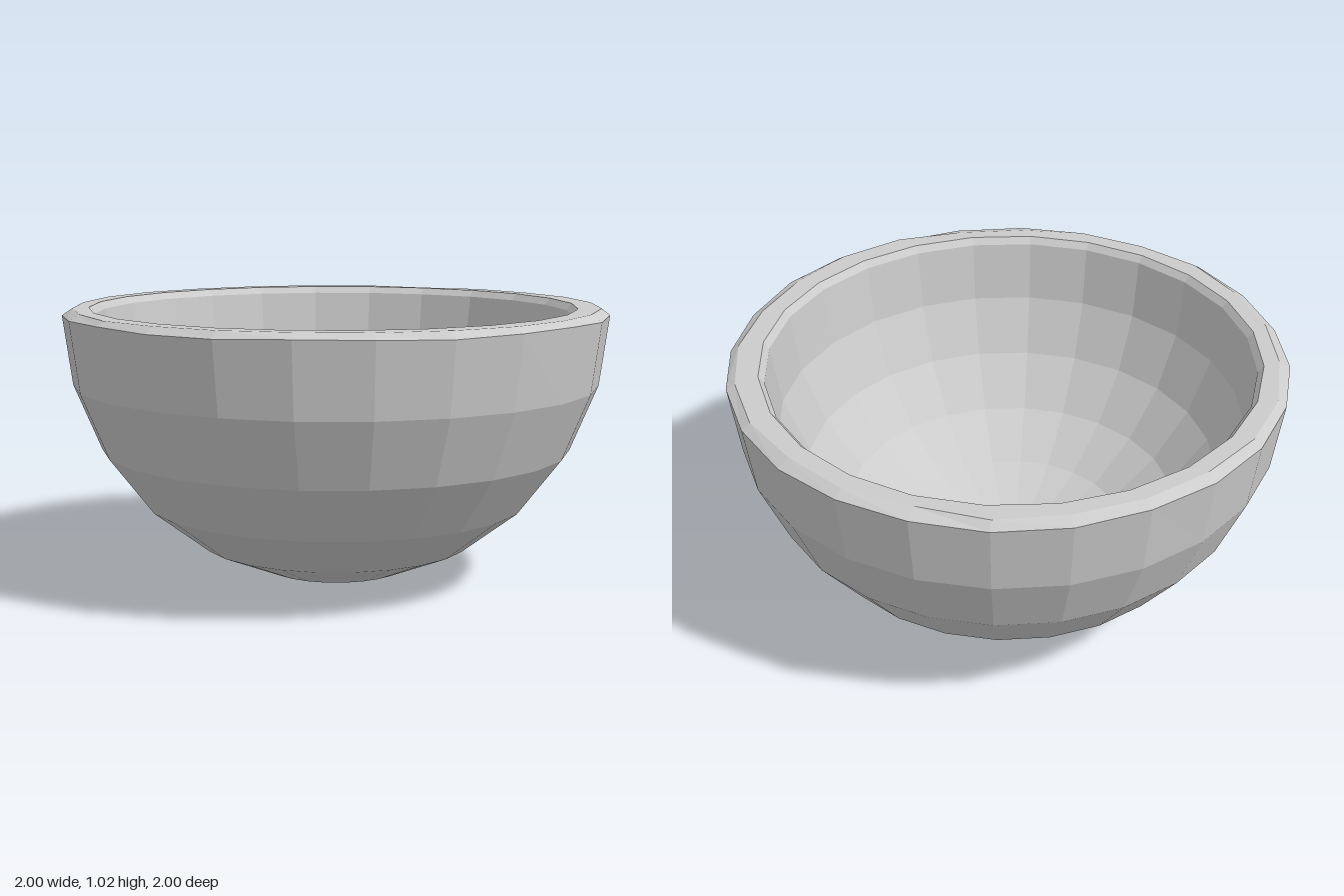
import * as THREE from 'three';

const SIDES = 24, STEP = Math.PI / 12;

// Hemisphere profile from the pole up to the equator, in 15 degree rings
function arc(radius, centreY) {
  const pts = [];
  for (let i = 0; i <= 6; i++) {
    pts.push(new THREE.Vector2(radius * Math.sin(i * STEP), centreY - radius * Math.cos(i * STEP)));
  }
  return pts;
}

// Closeness of an angle to a chip in the rim, 0 to 1
function chip(angle, centre, width) {
  const d = Math.atan2(Math.sin(angle - centre), Math.cos(angle - centre)) / width;
  return Math.exp(-d * d);
}

export function createModel() {
  const group = new THREE.Group();
  group.name = 'bowl';

  // Outer shell, bevelled flat rim, then inner shell back down to the centre
  const profile = [
    ...arc(1, 1.003),
    new THREE.Vector2(0.965, 1.025),
    new THREE.Vector2(0.895, 1.025),
    ...arc(0.875, 1).reverse(),
  ];
  const geometry = new THREE.LatheGeometry(profile, SIDES);

  // Slightly worn rim, and a small turn and shift of the hollow
  const pos = geometry.attributes.position;
  for (let i = 0; i < pos.count; i++) {
    const ring = i % profile.length;
    let x = pos.getX(i), y = pos.getY(i), z = pos.getZ(i);
    const a = Math.atan2(z, x);
    if (ring === 7) {
      const wear = 0.006 * Math.sin(5 * a) + 0.004 * Math.sin(11 * a + 1);
      const dent = 0.025 * (chip(a, 1.9, 0.2) + chip(a, -0.8, 0.2));
      const s = 1 + wear - dent;
      x *= s;
      z *= s;
      y -= 0.1 * dent;
    } else if (ring === 6) {
      y += 0.004 * Math.sin(7 * a);
    } else if (ring > 7) {
      const r = Math.hypot(x, z), turn = a + 0.035;
      x = r * Math.cos(turn) - 0.008;
      z = r * Math.sin(turn) - 0.005;
    }
    pos.setXYZ(i, x, y, z);
  }
  geometry.computeVertexNormals();

  const bowl = new THREE.Mesh(geometry, new THREE.MeshStandardMaterial({ color: 0xcccccc, flatShading: true }));
  bowl.name = 'bowlShell';
  group.add(bowl);
  return group;
}
